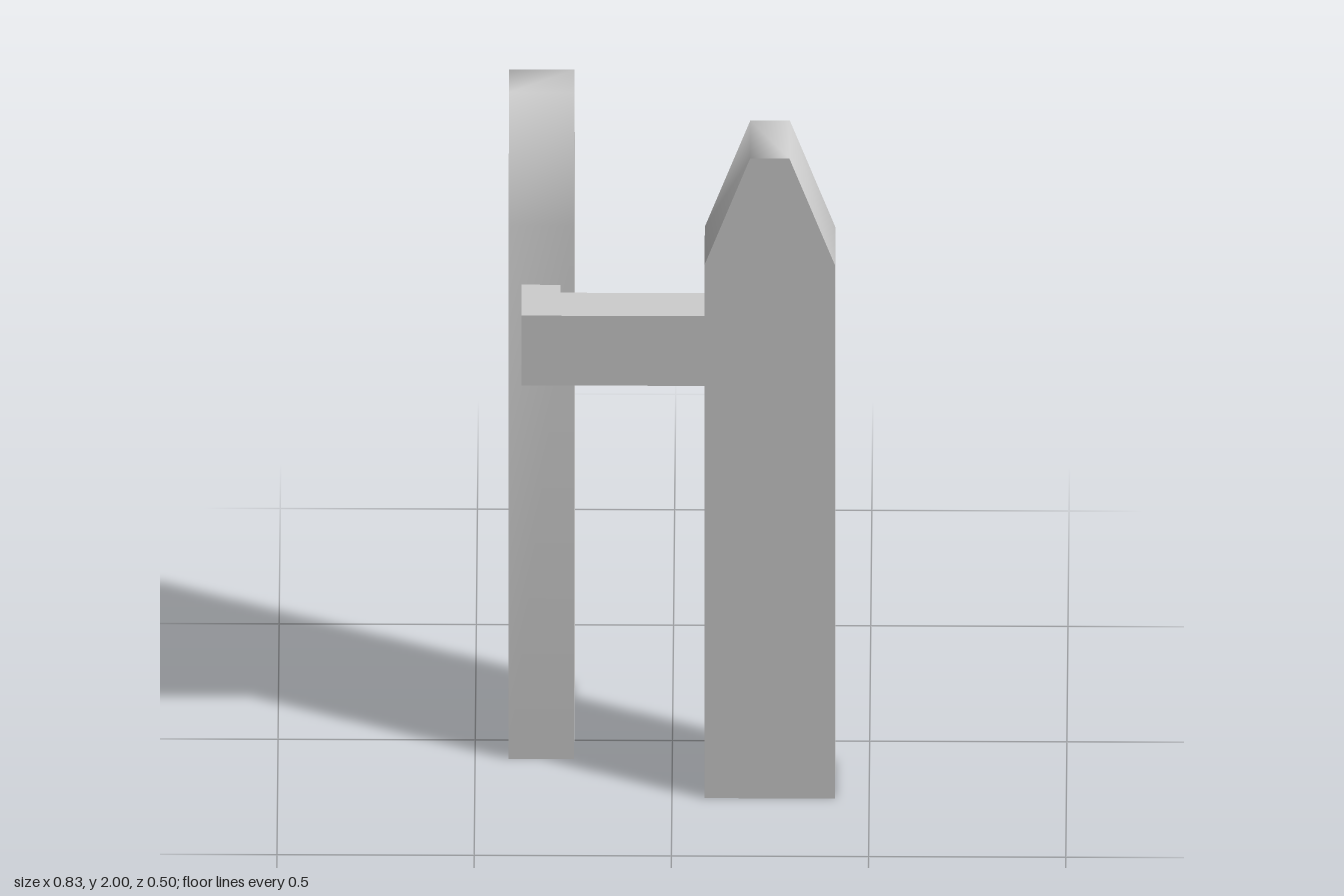
import * as THREE from 'three';
import { toCreasedNormals } from 'three/addons/utils/BufferGeometryUtils.js';

const material = new THREE.MeshStandardMaterial({ color: 0xcccccc });

const shapeOf = (points) => new THREE.Shape(points.map(([x, y]) => new THREE.Vector2(x, y)));

// Pointed board with a flat tip, centred on its own axis
function makePicket(name) {
  const half = 0.1655, tip = 0.05, shoulder = 1.667, height = 2, thickness = 0.166;
  const outline = shapeOf([
    [-half, 0], [half, 0], [half, shoulder], [tip, height], [-tip, height], [-half, shoulder],
  ]);
  const geometry = new THREE.ExtrudeGeometry(outline, { depth: thickness, bevelEnabled: false });
  geometry.translate(0, 0, -thickness / 2);
  // Edge band shades smoothly over the point; faces and foot stay sharp
  const picket = new THREE.Mesh(toCreasedNormals(geometry, 1.4), material);
  picket.name = name;
  return picket;
}

export function createModel() {
  const group = new THREE.Group();
  group.name = 'fenceCorner';

  // Picket facing the front
  const frontPicket = makePicket('frontPicket');
  frontPicket.position.set(0.248, 0, 0.166);
  group.add(frontPicket);

  // Picket turned to face the side
  const sidePicket = makePicket('sidePicket');
  sidePicket.rotation.y = Math.PI / 2;
  sidePicket.position.set(-0.332, 0, -0.084);
  group.add(sidePicket);

  // L-shaped corner rail, drawn in plan (x, z) and extruded downwards
  const plan = shapeOf([
    [-0.382, 0.082], [-0.283, 0.082], [-0.283, 0.116], [0.083, 0.116], [0.083, 0.216], [-0.382, 0.216],
  ]);
  const railGeometry = new THREE.ExtrudeGeometry(plan, { depth: 0.218, bevelEnabled: false });
  railGeometry.rotateX(Math.PI / 2);
  const rail = new THREE.Mesh(railGeometry, material);
  rail.name = 'cornerRail';
  rail.position.y = 1.483;
  group.add(rail);

  return group;
}
